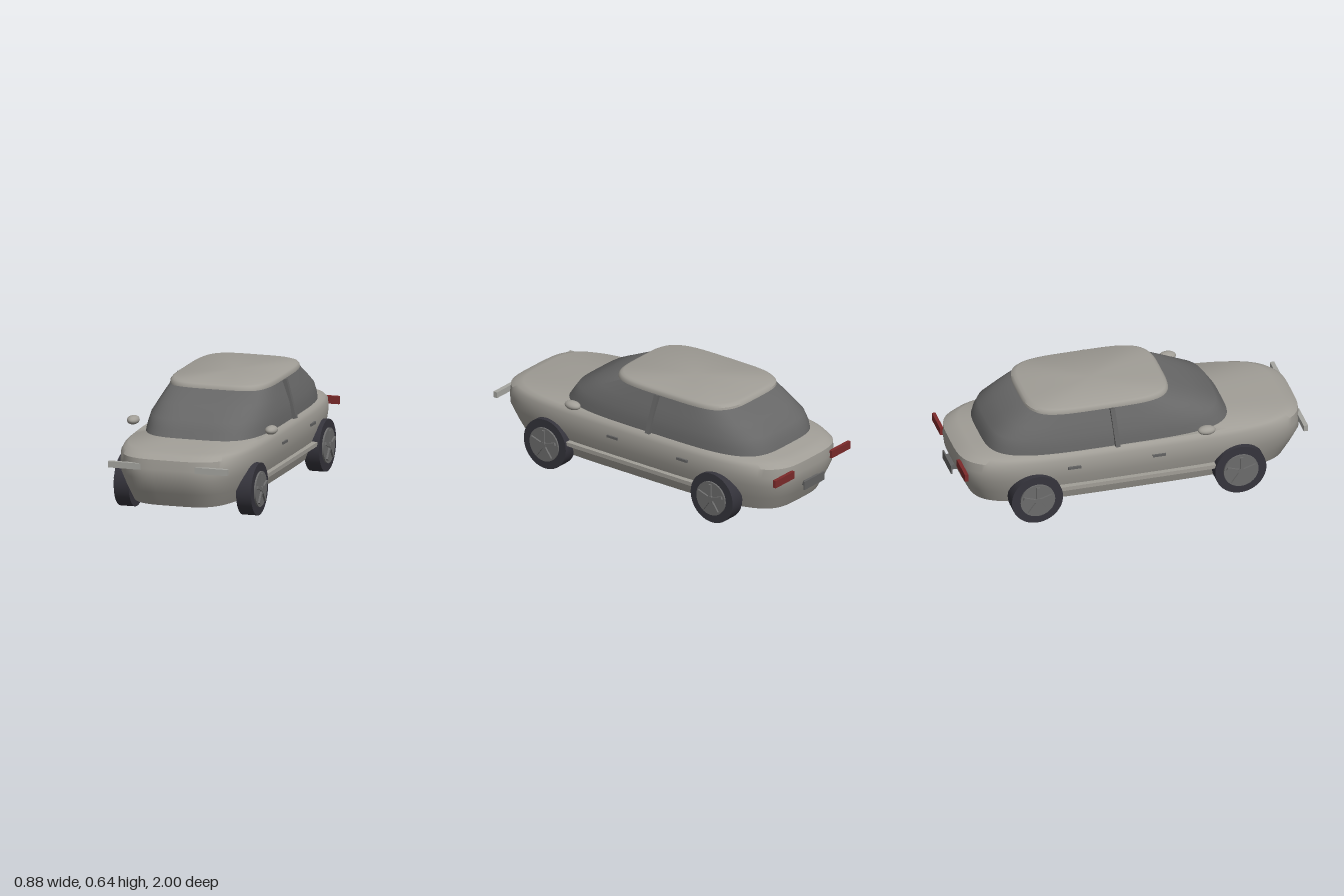
import * as THREE from 'three';
import { toCreasedNormals } from 'three/addons/utils/BufferGeometryUtils.js';

const paint = (name, color) => {
  const m = new THREE.MeshStandardMaterial({ color });
  m.name = name;
  return m;
};

// Closed loft of rounded-rectangle plans; each level is [y, zBack, zFront, halfWidth]
function loft(levels, power, segments = 128) {
  const pos = [], index = [];
  const bend = v => Math.sign(v) * Math.pow(Math.abs(v), 2 / power);
  for (const [y, zb, zf, w] of levels) {
    for (let i = 0; i < segments; i++) {
      const t = (i / segments) * Math.PI * 2;
      pos.push(w * bend(Math.cos(t)), y, (zf + zb) / 2 + ((zf - zb) / 2) * bend(Math.sin(t)));
    }
  }
  const last = levels.length - 1;
  for (const l of [levels[0], levels[last]]) pos.push(0, l[0], (l[1] + l[2]) / 2);
  const bottom = levels.length * segments, top = bottom + 1;
  for (let i = 0; i < segments; i++) {
    const j = (i + 1) % segments;
    for (let k = 0; k < last; k++) {
      const a = k * segments + i, b = k * segments + j;
      index.push(a, a + segments, b, b, a + segments, b + segments);
    }
    index.push(bottom, i, j, top, last * segments + j, last * segments + i);
  }
  const g = new THREE.BufferGeometry();
  g.setAttribute('position', new THREE.Float32BufferAttribute(pos, 3));
  g.setIndex(index);
  return toCreasedNormals(g, 0.7);
}

export function createModel() {
  const bodyPaint = paint('body paint', 0xa19e97);
  const glass = paint('tinted glass', 0x676767);
  const rubber = paint('tyre rubber', 0x35343c);
  const alloy = paint('wheel alloy', 0x6c6c6c);
  const trim = paint('grey trim', 0x626262);
  const red = paint('tail lamp red', 0x7c2a2a);
  const lampGrey = paint('headlamp grey', 0xa5a5a0);

  const car = new THREE.Group();
  car.name = 'car';
  const add = (name, geometry, material, x = 0, y = 0, z = 0, parent = car) => {
    const m = new THREE.Mesh(geometry, material);
    m.name = name;
    m.position.set(x, y, z);
    parent.add(m);
    return m;
  };
  const box = (w, h, d) => new THREE.BoxGeometry(w, h, d);

  // Main shell, cabin and roof
  add('body', loft([
    [0.09, -0.90, 0.91, 0.325], [0.17, -0.94, 0.955, 0.356], [0.255, -0.978, 0.998, 0.382],
    [0.31, -0.985, 0.998, 0.39], [0.365, -0.982, 0.992, 0.387],
    [0.387, -0.945, 0.96, 0.379], [0.40, -0.90, 0.91, 0.365],
  ], 4), bodyPaint);
  add('windows', loft([
    [0.395, -0.822, 0.585, 0.358], [0.44, -0.81, 0.555, 0.354], [0.49, -0.785, 0.52, 0.344],
    [0.55, -0.70, 0.39, 0.322], [0.615, -0.60, 0.245, 0.296],
  ], 4), glass);
  add('roof', loft([
    [0.612, -0.593, 0.243, 0.299], [0.628, -0.59, 0.24, 0.298],
    [0.638, -0.578, 0.23, 0.291], [0.644, -0.56, 0.215, 0.28],
  ], 4.2), bodyPaint);

  // Wheel with five spokes; its outer face points along +x
  const makeWheel = () => {
    const wheel = new THREE.Group();
    const disc = (name, r, w, material, x) => {
      const g = new THREE.CylinderGeometry(r, r, w, 48).rotateZ(Math.PI / 2);
      add(name, g, material, x, 0, 0, wheel);
    };
    disc('tyre', 0.148, 0.088, rubber, 0);
    disc('rim', 0.1, 0.108, alloy, 0);
    disc('hub', 0.02, 0.018, alloy, 0.057);
    for (let i = 0; i < 5; i++) {
      const g = box(0.012, 0.08, 0.018).translate(0.059, 0.048, 0);
      add('spoke', g.rotateX((i / 5) * Math.PI * 2), alloy, 0, 0, 0, wheel);
    }
    return wheel;
  };

  for (const s of [1, -1]) {
    const side = s > 0 ? 'left' : 'right';
    for (const z of [0.588, -0.588]) {
      const wheel = makeWheel();
      wheel.name = `${side}${z > 0 ? 'Front' : 'Rear'}Wheel`;
      wheel.position.set(s * 0.36, 0.148, z);
      if (s < 0) wheel.rotation.y = Math.PI;
      car.add(wheel);
    }

    // Leaning door pillar
    const pillar = add(`${side}Pillar`, box(0.026, 0.226, 0.026), trim, s * 0.341, 0.507, -0.122);
    pillar.rotation.set(-0.07, 0, s * 0.29);

    // Mirror, handles and sill strip
    const mirror = add(`${side}Mirror`, new THREE.SphereGeometry(1, 32, 20), bodyPaint, s * 0.406, 0.443, 0.39);
    mirror.scale.set(0.034, 0.025, 0.05);
    for (const z of [0.12, -0.37]) add(`${side}DoorHandle`, box(0.02, 0.014, 0.075), trim, s * 0.388, 0.316, z);
    add(`${side}Sill`, box(0.05, 0.023, 0.98), bodyPaint, s * 0.367, 0.184, 0);

    // Lamps
    add(`${side}Headlamp`, box(0.19, 0.035, 0.025), lampGrey, s * 0.255, 0.32, 0.98);
    add(`${side}TailLamp`, box(0.17, 0.044, 0.02), red, s * 0.255, 0.318, -0.98);
  }

  // Blank rear plate
  add('rearPlate', box(0.18, 0.05, 0.009), trim, 0, 0.223, -0.995);
  add('rearPlateMount', box(0.12, 0.03, 0.05), trim, 0, 0.223, -0.968);
  return car;
}
